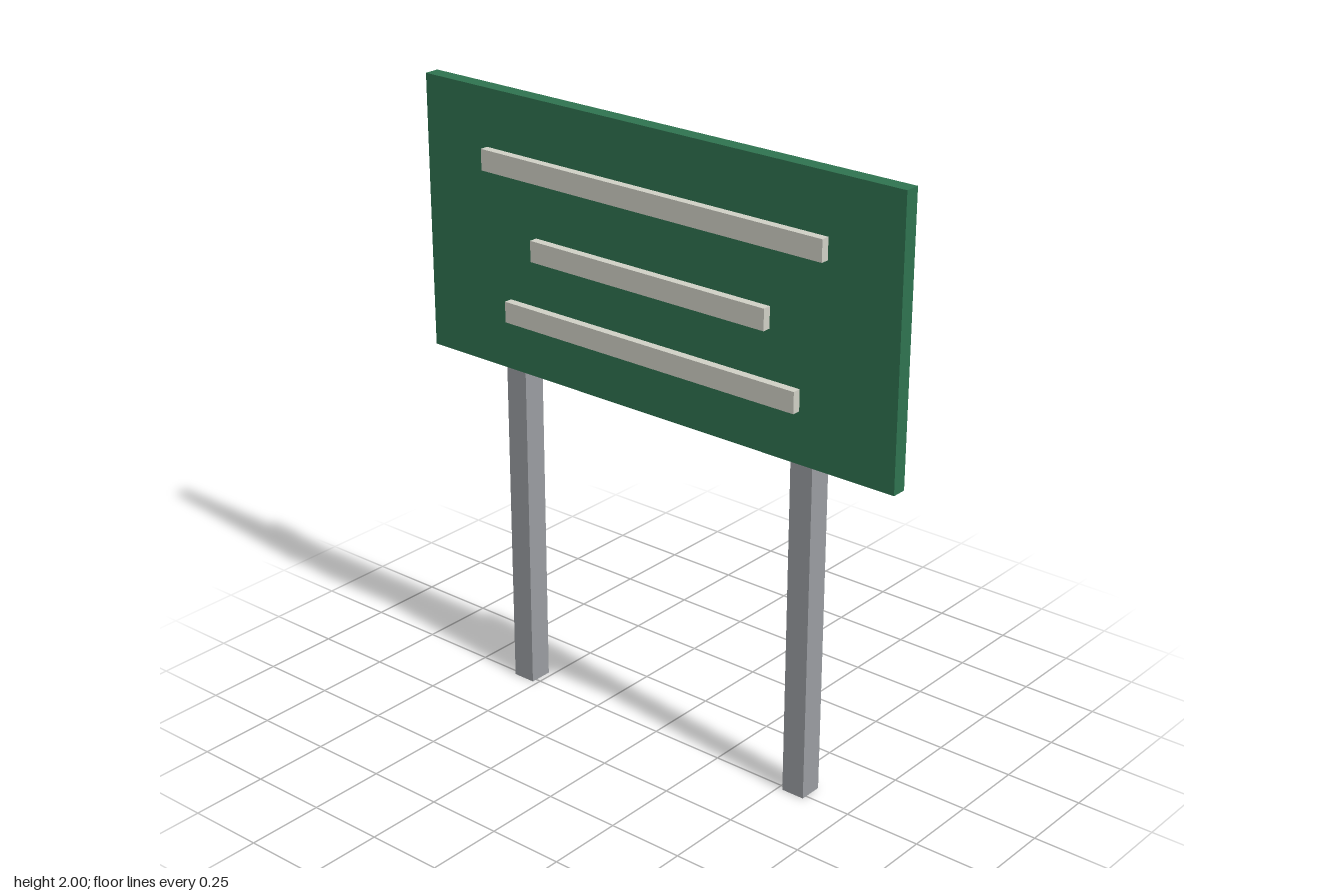
import * as THREE from 'three';

const paint = (name, color) => {
  const m = new THREE.MeshStandardMaterial({ color });
  m.name = name;
  return m;
};

export function createModel() {
  const green = paint('board green', 0x2f7350);
  const grey = paint('post grey', 0x9a9da1);
  const pale = paint('slat off-white', 0xd0d0c6);

  const model = new THREE.Group();
  model.name = 'signboard';

  const addBox = (name, material, size, position) => {
    const mesh = new THREE.Mesh(new THREE.BoxGeometry(...size), material);
    mesh.name = name;
    mesh.position.set(...position);
    model.add(mesh);
  };

  // Panel
  addBox('board', green, [1.778, 0.889, 0.049], [0, 1.5555, 0.009]);

  // Posts, let into the back of the panel
  for (const [name, side] of [['leftPost', 1], ['rightPost', -1]]) {
    addBox(name, grey, [0.078, 1.778, 0.078], [side * 0.556, 0.889, -0.022]);
  }

  // Raised slats on the front: width and height of centre
  const slats = [['topSlat', 1.278, 1.781], ['middleSlat', 0.889, 1.532], ['bottomSlat', 1.111, 1.309]];
  for (const [name, width, y] of slats) {
    addBox(name, pale, [width, 0.068, 0.03], [0, y, 0.046]);
  }

  return model;
}
